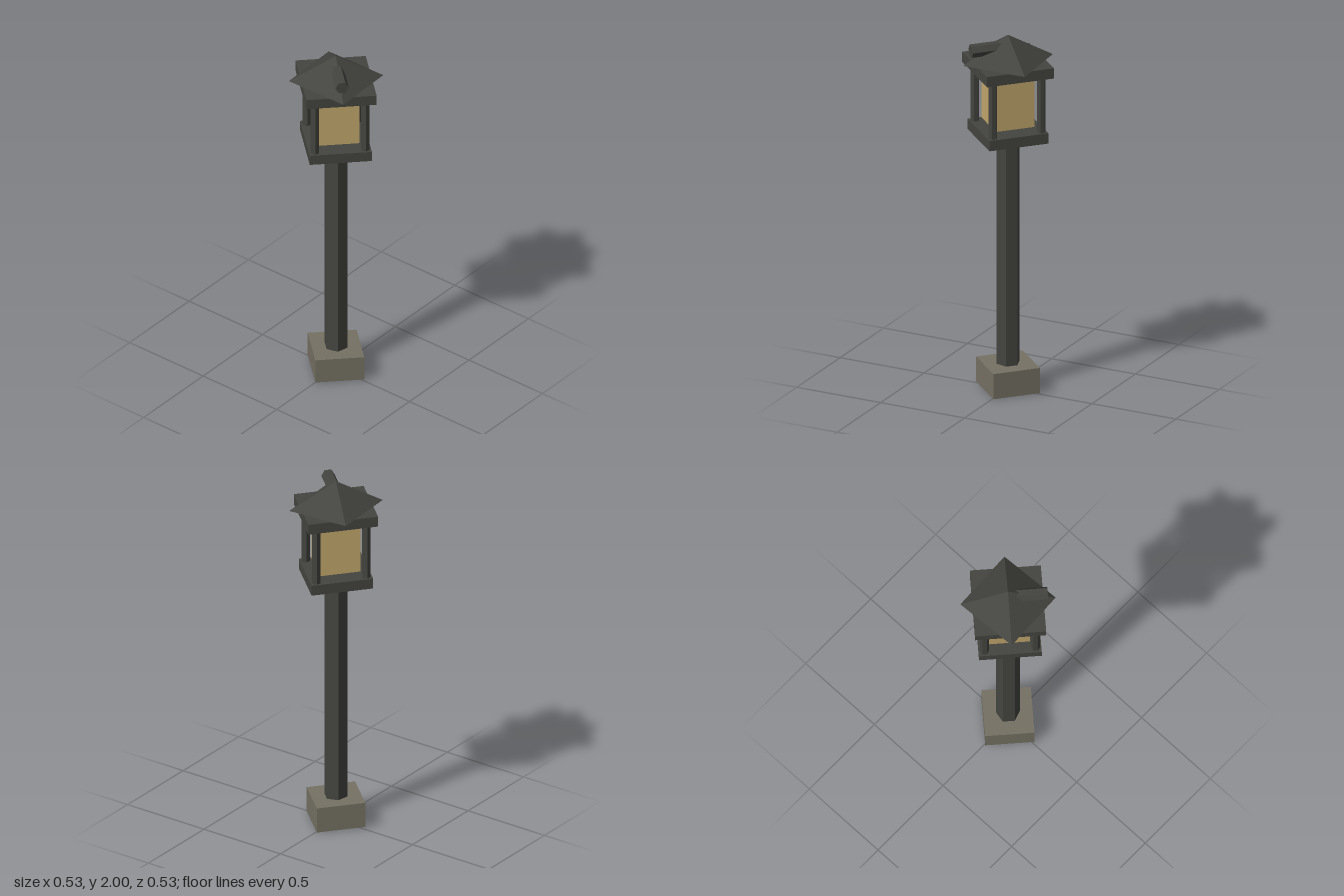
import * as THREE from 'three';

const TURN = THREE.MathUtils.degToRad(47.8);

export function createModel() {
  const metal = new THREE.MeshStandardMaterial({ color: 0x444540 });
  metal.name = 'dark metal';
  const stone = new THREE.MeshStandardMaterial({ color: 0x757163 });
  stone.name = 'stone';
  const glass = new THREE.MeshStandardMaterial({ color: 0xc2a76c });
  glass.name = 'amber glass';

  const lamp = new THREE.Group();
  lamp.name = 'lampPost';

  // slight slope shared by all the level parts
  const slope = new THREE.Matrix4().set(
    1, 0, 0, 0,
    -0.02, 1, 0.02, 0,
    0, 0, 1, 0,
    0, 0, 0, 1);

  // turns a part with the lamp and gives it faceted normals
  function add(name, geometry, material) {
    const g = geometry.toNonIndexed().rotateY(TURN).applyMatrix4(slope);
    g.computeVertexNormals();
    const mesh = new THREE.Mesh(g, material);
    mesh.name = name;
    lamp.add(mesh);
  }
  const slab = (side, y0, y1) =>
    new THREE.BoxGeometry(side, y1 - y0, side).translate(0, (y0 + y1) / 2, 0);
  const hexBar = (r, y0, y1, x = 0, z = 0) =>
    new THREE.CylinderGeometry(r, r, y1 - y0, 6).translate(x, (y0 + y1) / 2, z);

  // foot and post
  add('base', slab(0.262, 0.006, 0.148), stone);
  add('post', hexBar(0.064, 0.002, 1.82), metal);

  // lantern frame and glass
  add('lanternFloor', slab(0.333, 1.426, 1.484), metal);
  add('lanternGlass', slab(0.219, 1.506, 1.778), glass);
  add('lanternCeiling', slab(0.377, 1.799, 1.857), metal);
  for (const sx of [-1, 1]) for (const sz of [-1, 1]) {
    add('cornerUpright', hexBar(0.024, 1.47, 1.81, sx * 0.136, sz * 0.136), metal);
  }

  // pyramid roof
  add('roof', new THREE.ConeGeometry(0.253, 0.143, 4).translate(0, 1.9285, 0), metal);

  // short six-sided stub lying along one roof ridge
  const stub = new THREE.CylinderGeometry(0.036, 0.036, 0.19, 6)
    .rotateY(Math.PI / 6).rotateX(Math.PI / 2).translate(0, 1.935, 0.115);
  add('roofStub', stub, metal);

  return lamp;
}
